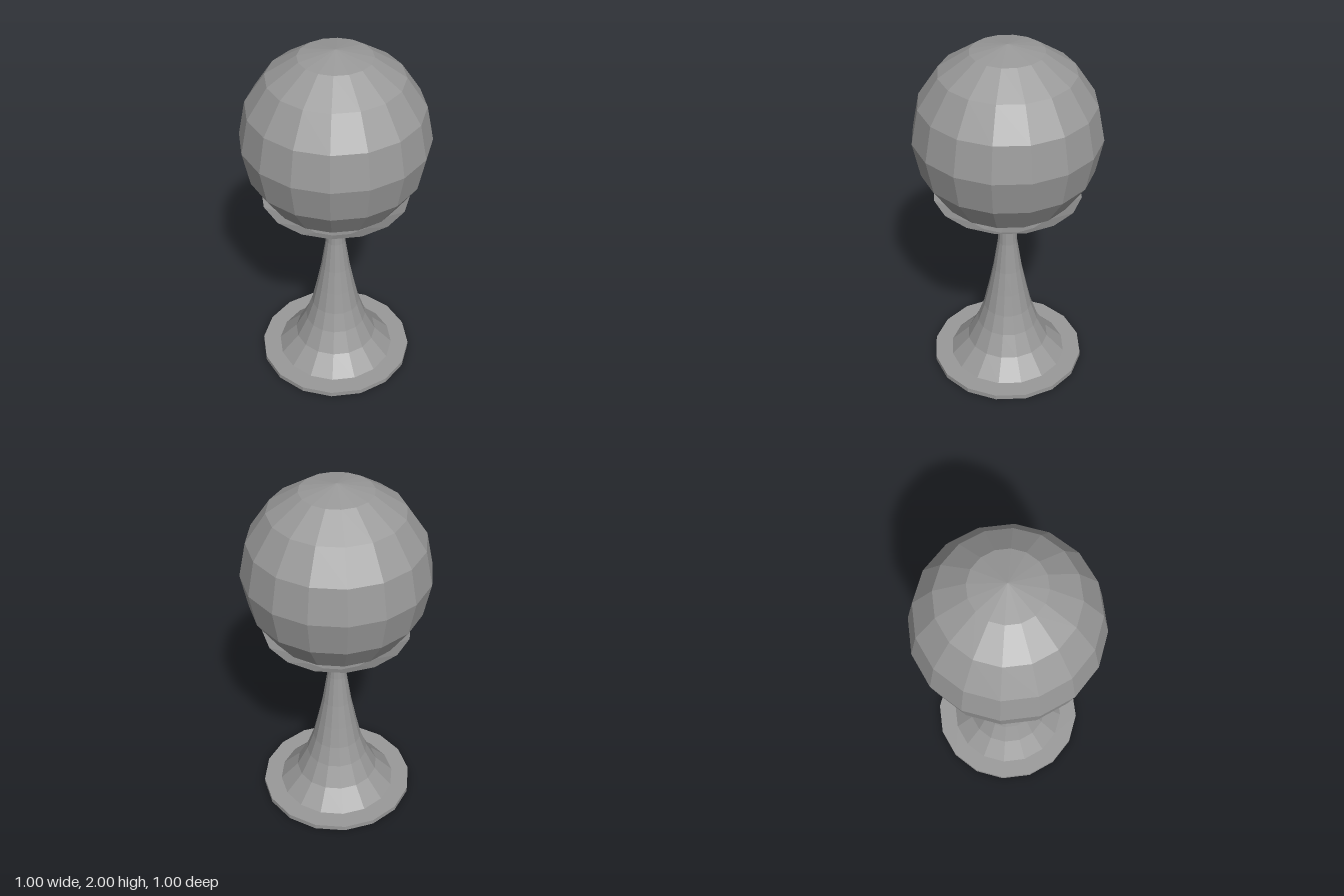
import * as THREE from 'three';

const SIDES = 16;

// Faceted part turned around the vertical axis from a [radius, height] profile
function turned(name, profile, material) {
  const points = profile.map(([r, y]) => new THREE.Vector2(r, y));
  const mesh = new THREE.Mesh(new THREE.LatheGeometry(points, SIDES), material);
  mesh.name = name;
  return mesh;
}

export function createModel() {
  const model = new THREE.Group();
  model.name = 'ballOnStand';
  const solid = new THREE.MeshStandardMaterial({ color: 0x999999, flatShading: true });
  const thin = new THREE.MeshStandardMaterial({ color: 0x999999, flatShading: true, side: THREE.DoubleSide });

  // Ball resting in the cup
  const ball = new THREE.Mesh(new THREE.SphereGeometry(0.502, SIDES, 8), solid);
  ball.name = 'ball';
  ball.position.y = 1.498;
  model.add(ball);

  // Shallow open cup
  model.add(turned('cup', [[0, 0.953], [0.235, 1.027], [0.402, 1.138]], thin));

  // Hollow flared stem, open at the bottom
  model.add(turned('stem', [
    [0.345, 0], [0.335, 0.028], [0.235, 0.135], [0.175, 0.255], [0.138, 0.365],
    [0.11, 0.49], [0.082, 0.63], [0.055, 0.81], [0.045, 0.968],
  ], thin));

  // Flat foot ring around the stem
  model.add(turned('footRing', [
    [0.345, 0], [0.436, 0], [0.436, 0.028], [0.335, 0.028],
  ], thin));

  return model;
}
